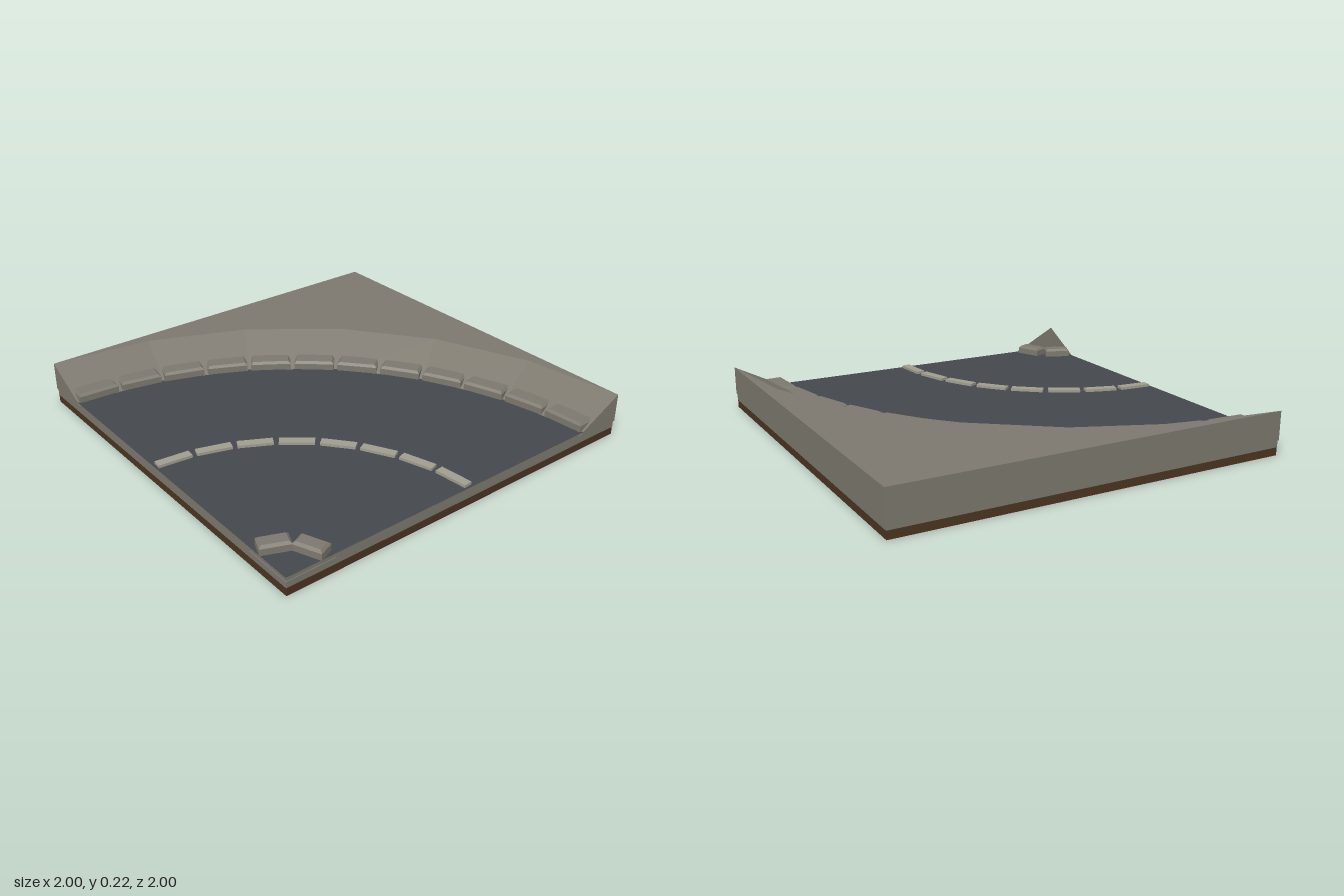
import * as THREE from 'three';

const STONE = 0x7d796f, ROAD = 0x44484d, PAINT = 0xa09d90, EARTH = 0x4b3522;
const QUARTER = Math.PI / 2;

const mat = (color) => new THREE.MeshStandardMaterial({ color, flatShading: true });

function add(parent, name, geometry, material) {
  const mesh = new THREE.Mesh(geometry, material);
  mesh.name = name;
  parent.add(mesh);
  return mesh;
}

// Point at radius r and angle a around the bend's centre, the front corner at (-1, 1)
const polar = (r, a, y) => [-1 + r * Math.sin(a), y, 1 - r * Math.cos(a)];

// Sweeps a convex (radius, height) section through the quarter turn and caps both ends
function sweep(sectionAt, segments) {
  const rings = [];
  for (let i = 0; i <= segments; i++) {
    const a = (i / segments) * QUARTER;
    rings.push(sectionAt(a).map(([r, y]) => polar(r, a, y)));
  }
  const pos = [];
  const tri = (...pts) => pts.forEach((p) => pos.push(...p));
  const n = rings[0].length;
  for (let i = 0; i < segments; i++) {
    for (let j = 0; j < n; j++) {
      const k = (j + 1) % n;
      tri(rings[i][j], rings[i + 1][j], rings[i + 1][k]);
      tri(rings[i][j], rings[i + 1][k], rings[i][k]);
    }
  }
  const first = rings[0], last = rings[segments];
  for (let j = 1; j < n - 1; j++) {
    tri(first[0], first[j], first[j + 1]);
    tri(last[0], last[j + 1], last[j]);
  }
  const geometry = new THREE.BufferGeometry();
  geometry.setAttribute('position', new THREE.Float32BufferAttribute(pos, 3));
  geometry.computeVertexNormals();
  return geometry;
}

// Chamfered block standing on y = 0
function chamferedBlock(length, height, width, bevel) {
  const x = length / 2 - bevel, y = width / 2 - bevel;
  const shape = new THREE.Shape([
    new THREE.Vector2(-x, -y), new THREE.Vector2(x, -y),
    new THREE.Vector2(x, y), new THREE.Vector2(-x, y),
  ]);
  const geometry = new THREE.ExtrudeGeometry(shape, {
    depth: height - 2 * bevel, bevelEnabled: true,
    bevelThickness: bevel, bevelSize: bevel, bevelSegments: 1,
  });
  return geometry.translate(0, 0, bevel).rotateX(-QUARTER);
}

// Repeats one geometry evenly round the quarter turn
function ringOf(name, partName, geometry, material, count, radius, y) {
  const group = new THREE.Group();
  group.name = name;
  for (let i = 0; i < count; i++) {
    const a = ((i + 0.5) / count) * QUARTER;
    const part = add(group, partName, geometry, material);
    part.position.set(...polar(radius, a, y));
    part.rotation.y = -a;
  }
  return group;
}

export function createModel() {
  const model = new THREE.Group();
  model.name = 'roadCornerTile';
  const stone = mat(STONE);

  // Earth base and stone slab
  add(model, 'earthBase', new THREE.BoxGeometry(1.99, 0.04, 1.99), mat(EARTH)).position.y = 0.02;
  add(model, 'stoneSlab', new THREE.BoxGeometry(1.992, 0.053, 1.992), stone).position.y = 0.0665;

  // Road surface
  const roadShape = new THREE.CircleGeometry(1.8, 24, 0, QUARTER).rotateX(-QUARTER);
  const roadMaterial = mat(ROAD);
  roadMaterial.side = THREE.DoubleSide;
  add(model, 'roadSurface', roadShape, roadMaterial).position.set(-1, 0.096, 1);

  // Outer bank, sloping up to a flat top that fills the square corner
  add(model, 'outerBank', sweep((a) => {
    const edge = 2 / Math.max(Math.sin(a), Math.cos(a));
    return [[1.74, 0.085], [2, 0.22], [edge, 0.22], [edge, 0.075], [1.74, 0.075]];
  }, 6), stone);

  // Small bank at the inside of the bend
  add(model, 'innerBank', sweep(() => [[0, 0.075], [0, 0.22], [0.25, 0.09], [0.25, 0.075]]
    .map(([r, y]) => [r, y]).reverse(), 6), stone);

  // Kerb stones
  model.add(ringOf('outerKerb', 'kerbStone', chamferedBlock(0.21, 0.06, 0.1, 0.012), stone, 12, 1.795, 0.08));
  model.add(ringOf('innerKerb', 'kerbStone', chamferedBlock(0.14, 0.06, 0.08, 0.012), stone, 2, 0.2, 0.08));

  // Dashed centre line
  const dash = new THREE.BoxGeometry(0.17, 0.02, 0.045);
  model.add(ringOf('centreLine', 'lineDash', dash, mat(PAINT), 8, 1, 0.1));

  return model;
}
